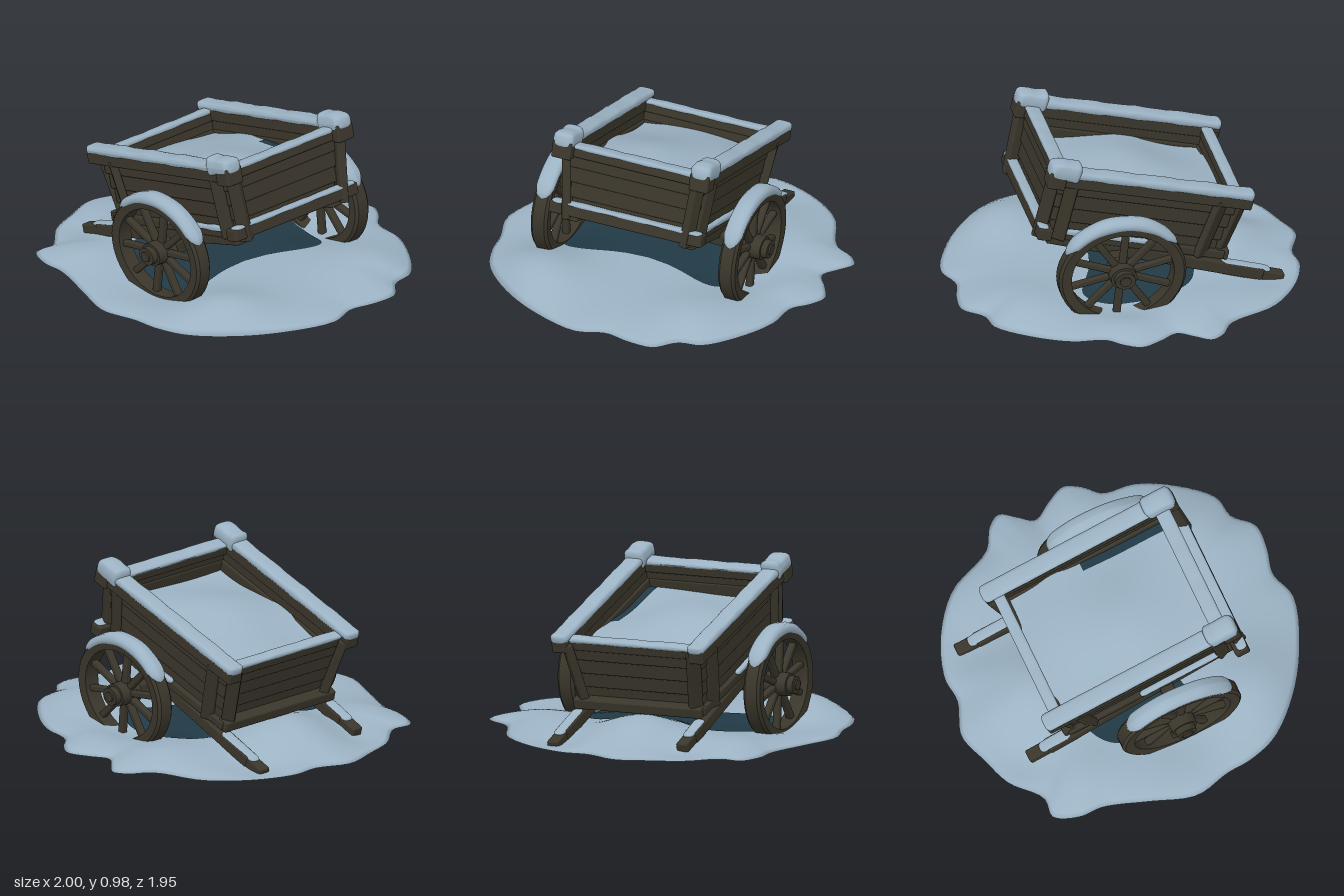
import * as THREE from 'three';
import { toCreasedNormals } from 'three/addons/utils/BufferGeometryUtils.js';
import { RoundedBoxGeometry } from 'three/addons/geometries/RoundedBoxGeometry.js';
import { ParametricGeometry } from 'three/addons/geometries/ParametricGeometry.js';

const wood = new THREE.MeshStandardMaterial({ color: 0x3a362b });
wood.name = 'darkWood';
const snow = new THREE.MeshStandardMaterial({ color: 0x9cb3c4, side: THREE.DoubleSide });
snow.name = 'snow';
const ice = new THREE.MeshStandardMaterial({ color: 0x213a46 });
ice.name = 'darkIce';

function add(parent, name, geometry, material) {
  const mesh = new THREE.Mesh(geometry, material);
  mesh.name = name;
  parent.add(mesh);
}

// Places a mesh so that its z axis runs from p to q
function between(parent, name, geometry, material, p, q) {
  const a = new THREE.Vector3(...p), b = new THREE.Vector3(...q);
  const mesh = new THREE.Mesh(geometry, material);
  mesh.name = name;
  mesh.position.copy(a).lerp(b, 0.5);
  mesh.lookAt(b);
  parent.add(mesh);
}

const span = (p, q) => Math.hypot(p[0] - q[0], p[1] - q[1], p[2] - q[2]);
// Turns a circle's sine or cosine into that of a rounded square
const square = (c) => Math.sign(c) * Math.abs(c) ** 0.6;

// Wooden beam with softened edges
function beam(parent, name, p, q, w, h) {
  between(parent, name, new RoundedBoxGeometry(w, h, span(p, q), 2, 0.01), wood, p, q);
}

// Lumpy strip of snow with a boxy cross-section
function drift(parent, name, p, q, w, h) {
  const k = 0.03, len = span(p, q);
  const g = new THREE.CapsuleGeometry(1, len / k - 2, 6, 16, 24).rotateX(Math.PI / 2);
  const pos = g.attributes.position;
  for (let i = 0; i < pos.count; i++) {
    const z = pos.getZ(i) * k;
    const lump = 1 + 0.12 * Math.sin(z * 23 + p[2] * 9) + 0.08 * Math.sin(z * 51);
    pos.setXYZ(i, square(pos.getX(i)) * w / 2, square(pos.getY(i)) * lump * h / 2, z);
  }
  g.computeVertexNormals();
  between(parent, name, g, snow, p, q);
}

// Snow field: outline in x, z; mounds and hollows as x, z, height, spread
const outline = new THREE.CatmullRomCurve3([
  [1, 0.06], [0.93, 0.35], [0.8, 0.6], [0.62, 0.8], [0.45, 0.88], [0.3, 0.91], [0.1, 0.975], [-0.15, 0.92],
  [-0.35, 0.87], [-0.43, 0.86], [-0.55, 0.87], [-0.69, 0.82], [-0.7, 0.7], [-0.85, 0.55], [-0.93, 0.38],
  [-1, 0.2], [-0.95, 0], [-0.97, -0.15], [-0.9, -0.4], [-0.75, -0.62], [-0.5, -0.77], [-0.43, -0.9],
  [-0.36, -0.95], [-0.27, -0.9], [-0.18, -0.85], [-0.08, -0.92], [0.03, -0.98], [0.13, -0.94], [0.22, -0.87],
  [0.4, -0.86], [0.6, -0.78], [0.8, -0.63], [0.84, -0.5], [0.95, -0.4], [0.96, -0.25], [0.94, -0.1],
].map(([x, z]) => new THREE.Vector3(x, 0, z)), true);
const mounds = [[0.64, 0.53, 0.1, 0.28], [-0.54, 0.1, 0.115, 0.28], [-0.45, 0.68, 0.04, 0.2],
  [-0.4, -0.62, 0.04, 0.22], [0.1, -0.76, 0.03, 0.18], [0.63, -0.5, 0.055, 0.28],
  [0.13, 0.6, -0.045, 0.22], [0.09, -0.55, -0.045, 0.22], [-0.75, 0.46, -0.045, 0.17], [-0.82, -0.28, -0.05, 0.18]];
function groundHeight(x, z, edge) {
  let h = 0.042;
  for (const [mx, mz, a, s] of mounds) h += a * Math.exp(-((x - mx) ** 2 + (z - mz) ** 2) / (s * s));
  return 0.06 + edge * Math.max(h, 0.002);
}

function buildGround(model) {
  add(model, 'snowField', new ParametricGeometry((u, v, target) => {
    outline.getPoint(u % 1, target);
    const t = 0.001 + 0.999 * v ** 0.8;
    target.multiplyScalar(t);
    target.y = groundHeight(target.x, target.z, Math.max(0, 1 - t ** 6) ** 0.7);
  }, 160, 32), snow);
  // Dark frozen ground sheltered by the cart, widest beside the wheels
  add(model, 'shelteredGround', new ParametricGeometry((u, v, target) => {
    const a = u * Math.PI * 2, t = 0.001 + 0.999 * v;
    const c = square(Math.cos(a)), s = square(Math.sin(a));
    const x = -0.02 + t * c * (c > 0 ? 0.2 + 0.25 * s * s : 0.36);
    const z = 0.045 + 0.53 * t * s;
    target.set(x, groundHeight(x, z, 1) + 0.004, z);
  }, 64, 20), ice);
}

function buildWheel(parent, side) {
  const wheel = new THREE.Group();
  wheel.name = side > 0 ? 'frontWheel' : 'backWheel';
  wheel.position.set(-side * 0.02, 0, side * 0.575);
  wheel.scale.y = 0.86;
  if (side < 0) wheel.rotation.y = Math.PI;
  parent.add(wheel);

  const profile = [[0.29, -0.045], [0.345, -0.05], [0.36, -0.035], [0.36, 0.035], [0.345, 0.05], [0.29, 0.045], [0.29, -0.045]];
  const rim = new THREE.LatheGeometry(profile.map(([r, y]) => new THREE.Vector2(r, y)), 40).rotateX(Math.PI / 2);
  add(wheel, 'rim', toCreasedNormals(rim, 0.6), wood);

  for (let i = 0; i < 10; i++) {
    const a = (i + 0.35) / 10 * Math.PI * 2, c = Math.cos(a), s = Math.sin(a);
    beam(wheel, 'spoke', [0.05 * c, 0.05 * s, 0], [0.31 * c, 0.31 * s, 0], 0.04, 0.04);
  }
  for (const [r, z, len] of [[0.08, 0.01, 0.13], [0.062, 0.045, 0.13], [0.035, 0.05, 0.14]]) {
    const hub = new THREE.CylinderGeometry(r * 0.92, r, len, 20).rotateX(Math.PI / 2).translate(0, 0, z);
    add(wheel, 'hub', toCreasedNormals(hub, 0.6), wood);
  }
  // Crescent of snow, tapering towards its ends
  const R = 0.352, tube = 0.043, arc = 2.15;
  const cap = new THREE.TorusGeometry(R, tube, 12, 36, arc);
  const pos = cap.attributes.position;
  for (let i = 0; i < pos.count; i++) {
    const x = pos.getX(i), y = pos.getY(i), r = Math.hypot(x, y), a = Math.atan2(y, x);
    const taper = Math.max(0.001, Math.sin(a / arc * Math.PI)) ** 0.35 * (1 + 0.05 * Math.sin(a * 11));
    const nr = R + (r - R) * taper;
    pos.setXYZ(i, x / r * nr, y / r * nr, square(pos.getZ(i) / tube) * 0.055 * Math.min(1, taper * 1.4));
  }
  cap.rotateZ((Math.PI - arc) / 2);
  cap.computeVertexNormals();
  add(wheel, 'wheelSnow', cap, snow);
}

function buildBody(body) {
  add(body, 'floor', new RoundedBoxGeometry(0.99, 0.035, 0.72, 2, 0.01).translate(-0.06, 0.09, 0), wood);

  for (const s of [1, -1]) {
    // Long chassis beams that reach out as handles
    const end = s > 0 ? -0.87 : -0.97;
    beam(body, 'chassisBeam', [end + 0.12, -0.003, s * 0.37], [0.42, 0.055, s * 0.35], 0.075, 0.07);
    beam(body, 'handle', [end, -0.01, s * 0.37], [-0.55, 0.01, s * 0.37], 0.068, 0.058);
    drift(body, 'handleSnow', [end + 0.08, 0.024, s * 0.37], [-0.6, 0.04, s * 0.37], 0.062, 0.022);

    // Flared side planks, posts and top rail
    for (let i = 0; i < 4; i++) {
      const v = 0.13 + i * 0.088, z = s * (0.355 + i * 0.014);
      beam(body, 'sidePlank', [-0.55 - i * 0.012, v, z], [0.42 + i * 0.01, v, z], 0.036, 0.104);
    }
    for (const [u, lean] of [[-0.46, -0.03], [0.36, 0.02]])
      beam(body, 'sidePost', [u, 0.06, s * 0.385], [u + lean, 0.44, s * 0.43], 0.075, 0.045);
    beam(body, 'bottomRail', [-0.6, 0.085, s * 0.37], [0.46, 0.085, s * 0.37], 0.06, 0.05);
    drift(body, 'bottomRailSnow', [-0.15, 0.112, s * 0.395], [0.34, 0.112, s * 0.395], 0.035, 0.03);
    beam(body, 'topRail', [-0.66, 0.445, s * 0.415], [0.5, 0.445, s * 0.415], 0.09, 0.075);
    drift(body, 'topRailSnow', [-0.665, 0.488, s * 0.415], [0.5, 0.488, s * 0.415], 0.105, 0.05);
    beam(body, 'railBlock', [0.43, 0.445, s * 0.415], [0.53, 0.445, s * 0.415], 0.115, 0.1);
    drift(body, 'blockSnow', [0.35, 0.495, s * 0.415], [0.535, 0.5, s * 0.415], 0.122, 0.105);

    // Posts at the corners of both ends
    beam(body, 'endPost', [-0.575, 0.06, s * 0.335], [-0.62, 0.45, s * 0.385], 0.075, 0.05);
    beam(body, 'endPost', [0.47, 0.05, s * 0.36], [0.487, 0.45, s * 0.4], 0.075, 0.05);
  }

  // Planked ends
  for (let i = 0; i < 4; i++) {
    const v = 0.13 + i * 0.088, z = 0.35 + i * 0.014;
    for (const u of [-0.535 - i * 0.015, 0.425 + i * 0.007])
      beam(body, 'endPlank', [u, v, -z], [u, v, z], 0.036, 0.104);
  }
  for (const [u, w] of [[-0.58, 0.055], [0.44, 0.075]]) {
    beam(body, 'endRail', [u, 0.435, -0.4], [u, 0.435, 0.4], w, 0.06);
    drift(body, 'endRailSnow', [u, 0.465, -0.39], [u, 0.465, 0.39], w + 0.012, 0.03);
  }
  beam(body, 'rearCrossBeam', [0.462, 0.105, -0.46], [0.462, 0.105, 0.46], 0.08, 0.07);
  drift(body, 'crossBeamSnow', [0.475, 0.14, -0.45], [0.475, 0.14, 0.45], 0.06, 0.022);
  beam(body, 'frontCrossBeam', [-0.59, 0.085, -0.39], [-0.59, 0.085, 0.39], 0.075, 0.06);

  // Heaped snow load, with a dark frozen edge along the back wall
  const loadHeight = (x, z) => 0.32 - 0.05 * x + 0.012 * Math.sin(x * 9 + z * 6)
    + 0.085 * Math.exp(-((x + 0.1) ** 2 + (z - 0.02) ** 2) / 0.1);
  for (const [name, material, w, d, cx, cz, lift] of [
    ['snowLoad', snow, 0.98, 0.78, -0.07, 0, 0], ['frozenEdge', ice, 0.52, 0.06, 0.15, -0.345, 0.004]]) {
    const sheet = new THREE.PlaneGeometry(w, d, 28, 20).rotateX(-Math.PI / 2).translate(cx, 0, cz);
    const pos = sheet.attributes.position;
    for (let i = 0; i < pos.count; i++) pos.setY(i, loadHeight(pos.getX(i), pos.getZ(i)) + lift);
    sheet.computeVertexNormals();
    add(body, name, sheet, material);
  }
}

export function createModel() {
  const model = new THREE.Group();
  model.name = 'snowyCart';
  buildGround(model);

  const cart = new THREE.Group();
  cart.name = 'cart';
  cart.position.set(0.11, 0.315, 0.02);
  cart.rotation.set(-0.013, 0.075, 0);
  model.add(cart);
  beam(cart, 'axle', [0.02, 0, -0.62], [-0.02, 0, 0.62], 0.075, 0.075);
  for (const side of [1, -1]) buildWheel(cart, side);

  // The box tips down towards its handles
  const body = new THREE.Group();
  body.name = 'body';
  body.rotation.z = 0.253;
  cart.add(body);
  buildBody(body);
  return model;
}
